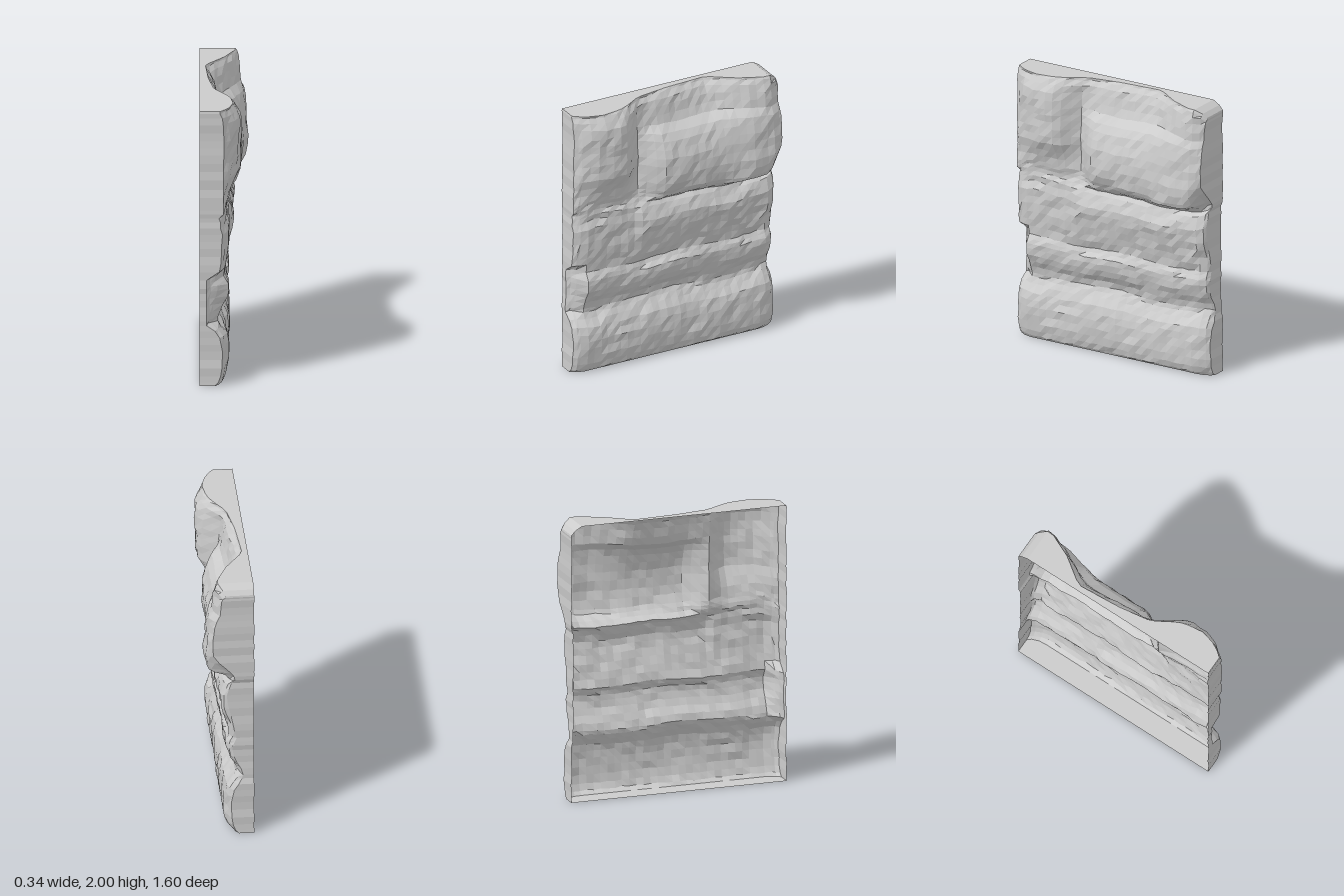
import * as THREE from 'three';

const BACK = -0.17;
const { lerp, smoothstep } = THREE.MathUtils;

// Piecewise-linear curve through [position, value] pairs
const curve = (pts) => (t) => {
  if (t <= pts[0][0]) return pts[0][1];
  for (let i = 1; i < pts.length; i++) {
    const [a, va] = pts[i - 1], [b, vb] = pts[i];
    if (t <= b) return va + ((vb - va) * (t - a)) / (b - a);
  }
  return pts[pts.length - 1][1];
};
const hash = (a, b) => {
  const s = Math.sin(a * 127.1 + b * 311.7) * 43758.5453;
  return (s - Math.floor(s)) * 2 - 1;
};

// Relief of the lower courses by height
const courses = curve([[0, -0.02], [0.03, 0.01], [0.1, 0.03], [0.25, 0.035], [0.35, 0.015], [0.42, -0.03],
  [0.46, -0.05], [0.51, -0.04], [0.6, 0.012], [0.7, 0.03], [0.74, 0.01], [0.765, -0.005], [0.83, 0.012],
  [0.92, 0.03], [1.04, 0.06], [1.1, 0.065], [1.18, 0.04], [1.22, 0.01]]);
// Relief along the top edge, and at the fullest part of the upper boulders
const crest = curve([[-0.8, 0.04], [-0.7, 0.1], [-0.5, 0.01], [-0.32, -0.12], [0, -0.1], [0.25, -0.06],
  [0.36, 0.01], [0.45, 0.055], [0.6, 0.075], [0.72, 0.04], [0.8, -0.02]]);
const belly = curve([[-0.8, 0.12], [-0.74, 0.155], [-0.55, 0.165], [-0.4, 0.135], [-0.3, 0.12], [0.13, 0.11],
  [0.2, 0.06], [0.27, -0.02], [0.31, 0.01], [0.38, 0.09], [0.46, 0.13], [0.64, 0.105], [0.74, 0.05], [0.8, 0.0]]);
// How far each upper boulder swells from crest to belly
const boulderSwell = curve([[1.25, 0.7], [1.3, 0.9], [1.4, 1], [1.55, 1], [1.68, 0.83], [1.73, 0.65], [1.78, 0.35], [1.9, 0.22], [2, 0]]);
const columnSwell = curve([[1.25, 0.4], [1.4, 0.65], [1.6, 0.9], [1.8, 1], [1.92, 0.7], [2, 0]]);
// Wandering of the joint below the boulders
const joint = curve([[-0.8, 0.03], [-0.7, 0], [-0.4, -0.025], [0, -0.005], [0.3, 0.01], [0.65, 0.03], [0.8, 0.0]]);
const jointReach = curve([[0.85, 0], [1.2, 1], [1.3, 1], [1.75, 0]]);
const endCut = curve([[0.7, 0], [0.76, 0.015], [0.8, 0.045]]);

const rows = [0, 0.025, 0.07, 0.13, 0.19, 0.25, 0.3, 0.35, 0.4, 0.44, 0.47, 0.52, 0.57, 0.62, 0.67, 0.71, 0.74, 0.77, 0.83,
  0.88, 0.94, 1, 1.05, 1.1, 1.15, 1.19, 1.22, 1.25, 1.28, 1.31, 1.37, 1.43, 1.5, 1.56, 1.62, 1.68, 1.73, 1.78, 1.84, 1.9, 1.95, 1.985, 2];
const cols = [-0.8, -0.77];
for (let z = -0.72; z < 0.75; z += 0.0525) cols.push(z);
cols.push(0.77, 0.8);
const R = rows.length - 1, C = cols.length - 1;

// Point of the weathered face at row j, column i
function facePoint(j, i) {
  const y = rows[j], z = cols[i];
  let x;
  if (y <= 1.22) {
    x = courses(y) - endCut(Math.abs(z));
    // deep notch of the recessed course at the front end
    if (y > 0.43 && y < 0.78) x = lerp(x, -0.12, smoothstep(z, 0.7, 0.8));
    // the middle stone stops short of the column
    x -= 0.03 * smoothstep(z, 0.26, 0.36) * smoothstep(y, 0.88, 1.05) * (1 - smoothstep(y, 1.15, 1.22));
  } else {
    const swell = lerp(boulderSwell(y), columnSwell(y), smoothstep(z, 0.2, 0.34));
    x = lerp(crest(z), belly(z), swell);
    if (y < 1.27) x = Math.min(x, 0.06);
    if (z > 0.27 && y < 1.5) x = lerp(0, x, (y - 1.2) / 0.3);
    // rounded underside of the boulder at the rear end
    const under = smoothstep(-z, 0.68, 0.8) * (1 - smoothstep(y, 1.2, 1.46));
    x = lerp(x, -0.04, under);
    if (y > 1.96) x -= 0.01;
  }
  const inner = i > 0 && i < C && j > 0 && j < R;
  let py = y + joint(z) * jointReach(y);
  if (inner) {
    x += 0.006 * hash(i, j) + 0.008 * hash(Math.floor(i / 3), Math.floor(j / 2) + 50);
    py += 0.004 * hash(i + 9, j);
    // gentle sag of the courses along the wall
    if (y > 0.3 && y < 1.9) py += 0.008 * Math.sin(z * 8 + y * 3);
  }
  // chamfered top corner
  if (i === 0) py = Math.min(py, 1.94 + (j - R) * 0.012);
  if (i === 1) py = Math.min(py, 1.97 + (j - R) * 0.012);
  let pz = z;
  if (i === 0 || i === C) pz -= Math.sign(z) * 0.008 * Math.abs(hash(j, 3));
  if (i === 0 && y > 0.4 && y < 1.2) pz += 0.012;
  return [Math.min(x, 0.17), Math.min(py, 2), pz];
}
// Same point pulled to the open back plane (t = 0) or left on the face (t = 1)
function wallPoint(j, i, t) {
  const p = facePoint(j, i);
  p[0] = lerp(BACK, p[0], t);
  return p;
}

const material = new THREE.MeshStandardMaterial({ color: 0xcccccc, flatShading: true, side: THREE.DoubleSide });

// Surface patch whose normal follows u cross v
function patch(name, nu, nv, f) {
  const pos = [], idx = [];
  for (let u = 0; u <= nu; u++) for (let v = 0; v <= nv; v++) pos.push(...f(u, v));
  for (let u = 0; u < nu; u++) for (let v = 0; v < nv; v++) {
    const a = u * (nv + 1) + v, b = a + nv + 1;
    idx.push(a, b, a + 1, b, b + 1, a + 1);
  }
  const g = new THREE.BufferGeometry();
  g.setAttribute('position', new THREE.Float32BufferAttribute(pos, 3));
  g.setIndex(idx);
  g.computeVertexNormals();
  const mesh = new THREE.Mesh(g, material);
  mesh.name = name;
  return mesh;
}

export function createModel() {
  const group = new THREE.Group();
  group.name = 'rockWallPanel';
  group.add(
    patch('rockFace', R, C, facePoint),
    // Thin walls running back to the open rear
    patch('topWall', C, 1, (u, v) => wallPoint(R, u, v)),
    patch('bottomWall', 1, C, (u, v) => wallPoint(0, v, u)),
    patch('frontEndWall', 1, R, (u, v) => wallPoint(v, C, u)),
    patch('rearEndWall', R, 1, (u, v) => wallPoint(u, 0, v)),
  );
  return group;
}
